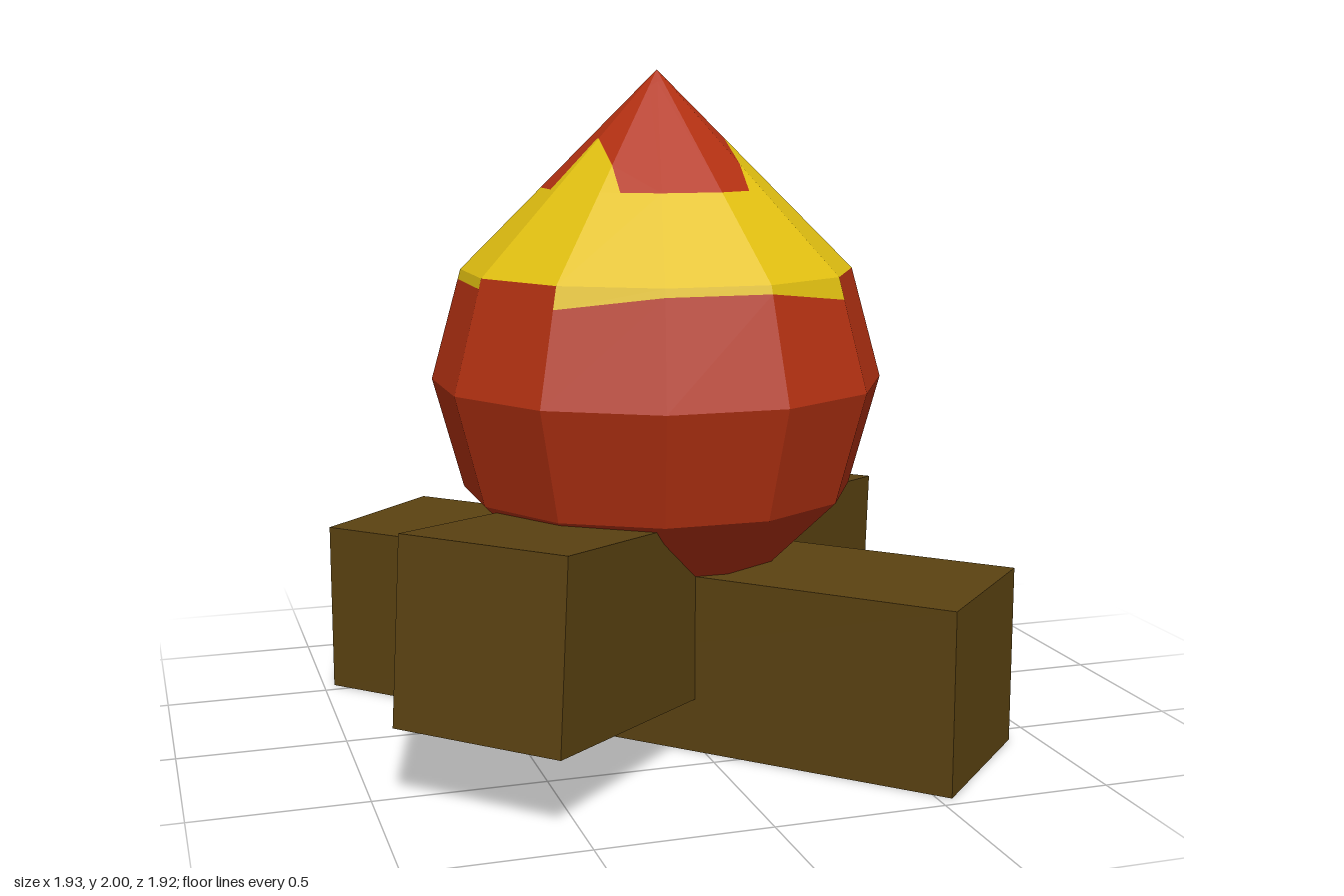
import * as THREE from 'three';

const SIDES = 12;
const CENTRE_Y = 1.07;
const RADIUS = 0.688;
const HEIGHT = 0.67;

// Corner of the twelve-sided flame; corners sit half a step off the axes
function corner(i, y, r) {
  const a = ((i - 0.5) / SIDES) * Math.PI * 2;
  return new THREE.Vector3(Math.sin(a) * r, y, Math.cos(a) * r);
}

// Cut a convex polygon into the parts where f >= 0 and f < 0
function split(poly, f) {
  const inside = [], outside = [];
  poly.forEach((p, i) => {
    const q = poly[(i + 1) % poly.length];
    const a = f(p), b = f(q);
    (a >= 0 ? inside : outside).push(p);
    if ((a >= 0) !== (b >= 0)) {
      const m = p.clone().lerp(q, a / (a - b));
      inside.push(m);
      outside.push(m);
    }
  });
  return [inside, outside];
}

// Flat-shaded mesh from a list of convex polygons
function polygonMesh(name, polys, material) {
  const pos = [];
  for (const poly of polys) {
    for (let i = 1; i + 1 < poly.length; i++) {
      for (const p of [poly[0], poly[i], poly[i + 1]]) pos.push(p.x, p.y, p.z);
    }
  }
  const geometry = new THREE.BufferGeometry();
  geometry.setAttribute('position', new THREE.Float32BufferAttribute(pos, 3));
  geometry.computeVertexNormals();
  const mesh = new THREE.Mesh(geometry, material);
  mesh.name = name;
  return mesh;
}

function createFlame(redMat, yellowMat) {
  const body = [], band = [], tip = [];
  // Rings of the rounded body, bottom to shoulder
  const rings = [-90, -60, -30, 0, 30].map((d) => {
    const a = THREE.MathUtils.degToRad(d);
    return { y: CENTRE_Y + HEIGHT * Math.sin(a), r: Math.max(0, RADIUS * Math.cos(a)) };
  });
  const shoulder = rings[4], waist = rings[3];
  const apex = new THREE.Vector3(0, 2, 0);
  // Lower edge of the yellow band on each facet, from front to back
  const edges = [[1.38, 1.38], [1.38, 1.34], null, [1.375, 1.375], [1.375, 1.34], [1.34, 1.375], [1.375, 1.375]];

  for (let k = 0; k < SIDES; k++) {
    // Rounded body
    for (let j = 0; j < 3; j++) {
      const lo = rings[j], hi = rings[j + 1];
      const upper = [corner(k + 1, hi.y, hi.r), corner(k, hi.y, hi.r)];
      body.push(j === 0
        ? [corner(k, lo.y, 0), ...upper]
        : [corner(k, lo.y, lo.r), corner(k + 1, lo.y, lo.r), ...upper]);
    }

    // Upper body facet, divided where the yellow band begins
    const mirrored = k > SIDES / 2;
    const edge = edges[mirrored ? SIDES - k : k];
    const a = corner(k, waist.y, waist.r), b = corner(k + 1, waist.y, waist.r);
    const c = corner(k + 1, shoulder.y, shoulder.r), d = corner(k, shoulder.y, shoulder.r);
    if (edge) {
      const [yl, yr] = mirrored ? [edge[1], edge[0]] : edge;
      const t = (y) => (y - waist.y) / (shoulder.y - waist.y);
      const left = a.clone().lerp(d, t(yl)), right = b.clone().lerp(c, t(yr));
      body.push([a, b, right, left]);
      band.push([left, right, c, d]);
    } else {
      body.push([a, b, c, d]);
    }

    // Pointed top: red tip with a narrow tongue at the front
    const [high, low] = split([d, c, apex], (p) => p.y - 1.65);
    const [front, back] = split(high, (p) => p.z - 0.035);
    const [mid, rightSide] = split(front, (p) => 0.195 - p.x);
    const [tongue, leftSide] = split(mid, (p) => p.x + 0.195);
    band.push(low, rightSide, leftSide);
    tip.push(back, tongue);
  }

  const flame = new THREE.Group();
  flame.name = 'flame';
  flame.add(
    polygonMesh('flameBody', body, redMat),
    polygonMesh('flameBand', band, yellowMat),
    polygonMesh('flameTip', tip, redMat),
  );
  flame.position.set(-0.025, 0, 0.02);
  return flame;
}

export function createModel() {
  const flameRed = new THREE.MeshStandardMaterial({ color: 0xb43112 });
  flameRed.name = 'flameRed';
  const flameYellow = new THREE.MeshStandardMaterial({ color: 0xe2c011 });
  flameYellow.name = 'flameYellow';
  const woodBrown = new THREE.MeshStandardMaterial({ color: 0x5b4211 });
  woodBrown.name = 'woodBrown';

  const model = new THREE.Group();
  model.name = 'campfire';

  // Two crossed logs, the second tilted over the first
  const logGeometry = new THREE.BoxGeometry(2.13, 0.535, 0.53);
  const addLog = (name, position, yaw, tilt) => {
    const log = new THREE.Mesh(logGeometry, woodBrown);
    log.name = name;
    log.position.set(...position);
    log.rotation.set(0, THREE.MathUtils.degToRad(yaw), THREE.MathUtils.degToRad(tilt));
    model.add(log);
  };
  addLog('lowerLog', [-0.026, 0.2675, 0.02], -45, 0);
  addLog('tiltedLog', [0.0075, 0.4025, -0.01], 45, -5);

  model.add(createFlame(flameRed, flameYellow));
  return model;
}
